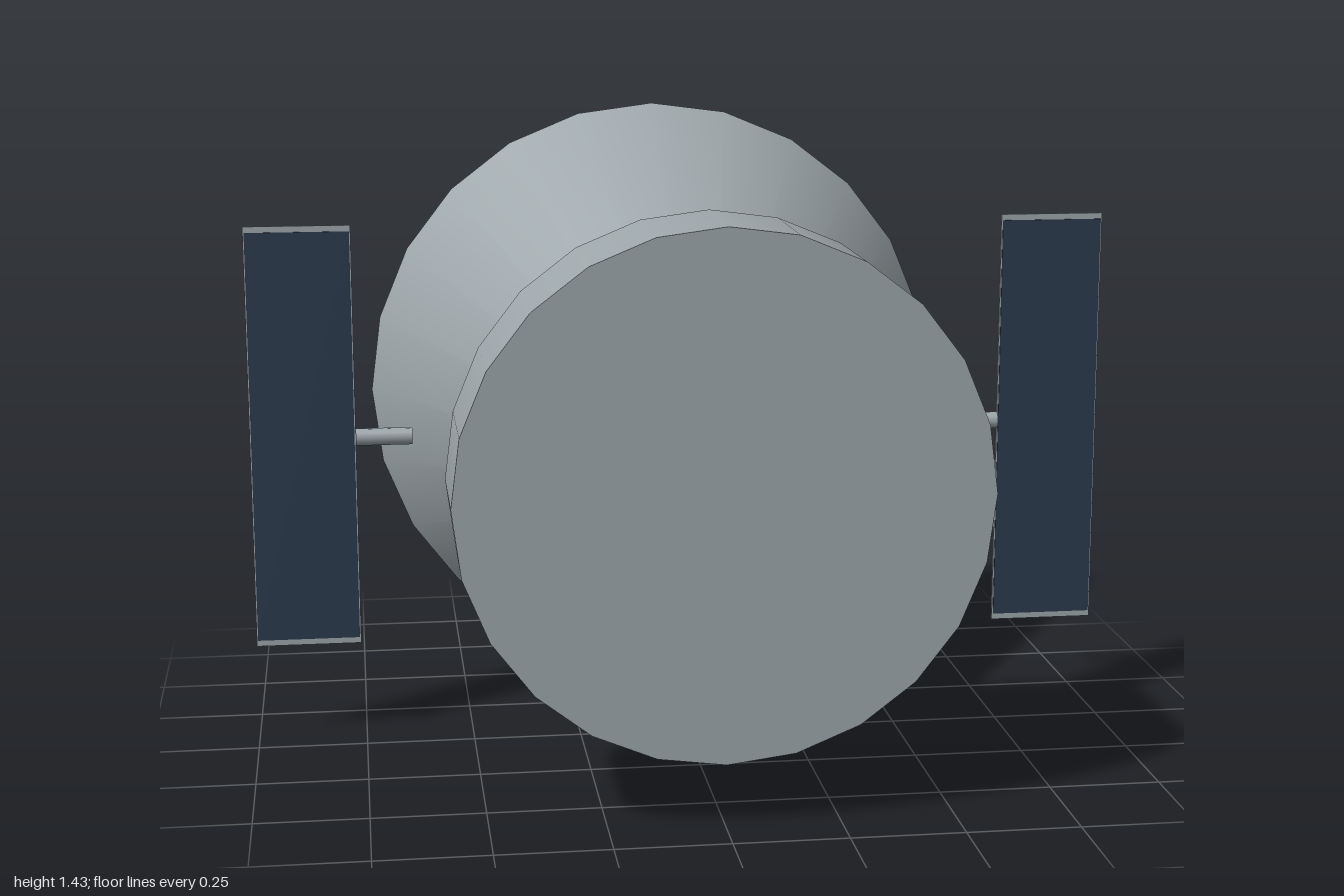
import * as THREE from 'three';

const AXIS_Y = 0.716;

export function createModel() {
  const model = new THREE.Group();
  model.name = 'spacecraft';

  const hull = new THREE.MeshStandardMaterial({ color: 0x9ea7ab });
  hull.name = 'hull grey';
  const cells = new THREE.MeshStandardMaterial({ color: 0x2c3b4f });
  cells.name = 'solar navy';

  const add = (name, geometry, material, x, y, z) => {
    const mesh = new THREE.Mesh(geometry, material);
    mesh.name = name;
    mesh.position.set(x, y, z);
    model.add(mesh);
  };

  // Round parts lie along z; the first radius is the front one
  const frustum = (front, back, length) =>
    new THREE.CylinderGeometry(front, back, length, 24).rotateX(Math.PI / 2);

  // Front drum and the cone flaring out behind it
  add('frontDrum', frustum(0.571, 0.571, 0.289), hull, 0, AXIS_Y, 0.52);
  add('rearCone', frustum(0.104, 0.714, 1.04), hull, 0, AXIS_Y, -0.145);

  // Side panels with a dark front face, each on a short strut
  for (const [side, s] of [['left', 1], ['right', -1]]) {
    const strut = new THREE.CylinderGeometry(0.02, 0.02, 0.13, 10).rotateZ(Math.PI / 2);
    add(side + 'Strut', strut, hull, s * 0.693, AXIS_Y, -0.084);
    add(side + 'Panel', new THREE.BoxGeometry(0.242, 0.985, 0.008), hull, s * 0.879, AXIS_Y, -0.084);
    add(side + 'SolarCells', new THREE.BoxGeometry(0.236, 0.957, 0.003), cells, s * 0.879, AXIS_Y, -0.0795);
  }

  return model;
}
